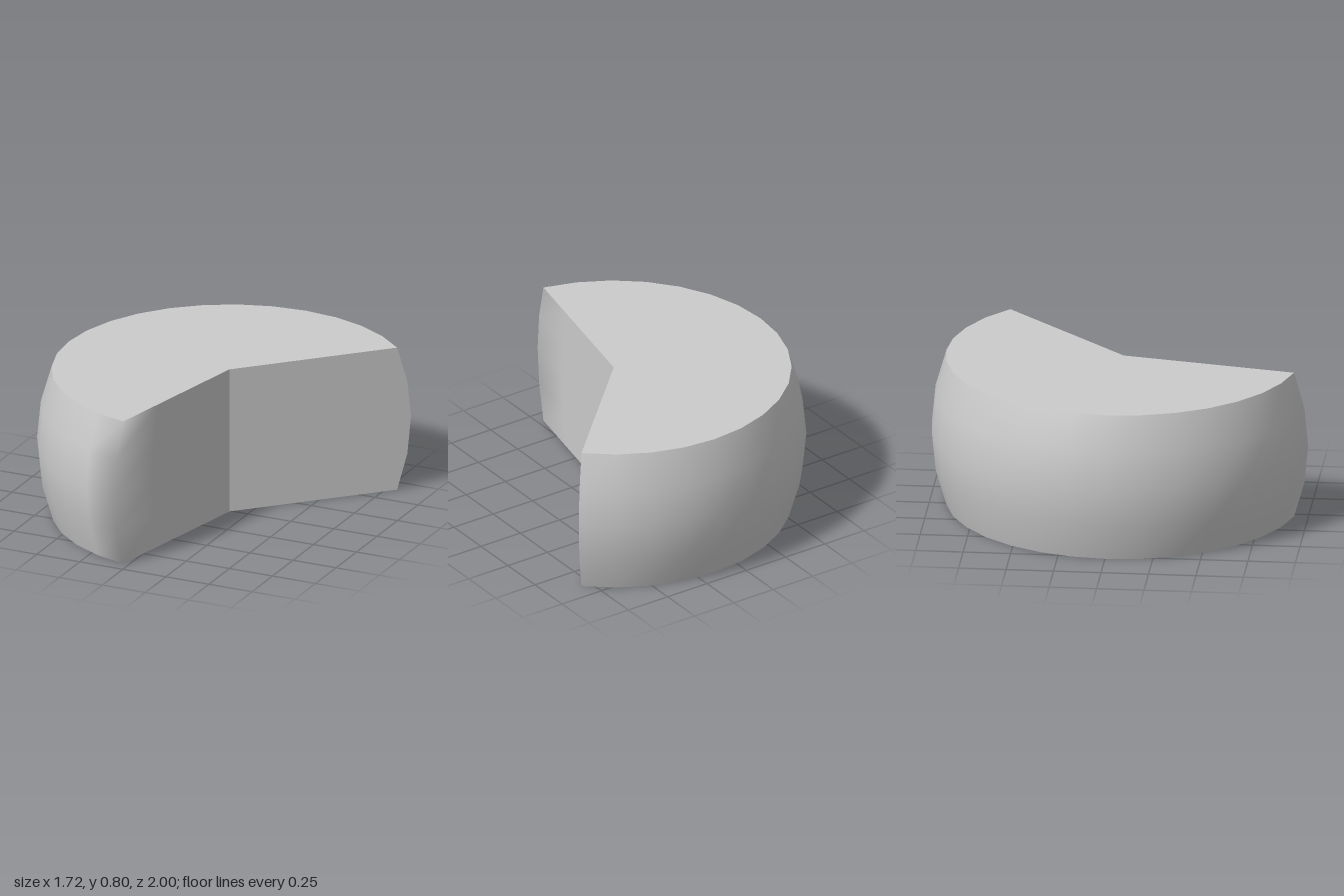
import * as THREE from 'three';

const APEX = [0.148, 0.01]; // x, z of the corner where the cut walls meet
const STEP = Math.PI / 16;  // 32 facets to the full turn
const FIRST = 4, LAST = 23; // the slice runs from 45 to 258.75 degrees
const PROFILE = [[0.933, 0], [0.99, 0.196], [1.01, 0.4], [0.99, 0.604], [0.933, 0.8]];

// One upright column of points at a facet index, with its radius scaled
function column(index, scale = 1) {
  const a = index * STEP;
  return PROFILE.map(([r, y]) => [
    APEX[0] + scale * r * Math.cos(a), y, APEX[1] - scale * r * Math.sin(a)]);
}

// Surface through neighbouring columns, with smooth normals
function skin(columns) {
  const rows = PROFILE.length, index = [];
  for (let i = 0; i < columns.length - 1; i++) {
    for (let j = 0; j < rows - 1; j++) {
      const a = i * rows + j, b = a + rows;
      index.push(a, b, b + 1, a, b + 1, a + 1);
    }
  }
  return build(columns.flat(), index);
}

// Flat fan from the apex to the rim
function cap(row, up) {
  const points = [[APEX[0], PROFILE[row][1], APEX[1]]], index = [];
  for (let i = FIRST; i <= LAST; i++) points.push(column(i)[row]);
  for (let i = 1; i < points.length - 1; i++) index.push(0, up ? i : i + 1, up ? i + 1 : i);
  return build(points, index);
}

function build(points, index) {
  const geometry = new THREE.BufferGeometry();
  geometry.setAttribute('position', new THREE.Float32BufferAttribute(points.flat(), 3));
  geometry.setIndex(index);
  geometry.computeVertexNormals();
  return geometry;
}

export function createModel() {
  const group = new THREE.Group();
  group.name = 'barrelSlice';
  const material = new THREE.MeshStandardMaterial({ color: 0xcccccc });
  const add = (name, geometry) => {
    const mesh = new THREE.Mesh(geometry, material);
    mesh.name = name;
    group.add(mesh);
  };

  // Bulging outer skin, blending softly round the front edge into the cut wall
  const outer = [];
  for (let i = FIRST; i <= LAST; i++) outer.push(column(i));
  outer.push(column(LAST, 0.67));
  add('outerSkin', skin(outer));

  // Flat cut walls
  add('frontCutWall', skin([column(LAST, 0.67), column(LAST, 0)]));
  add('backCutWall', skin([column(FIRST, 0), column(FIRST)]));

  // Flat top and bottom
  add('topFace', cap(PROFILE.length - 1, true));
  add('bottomFace', cap(0, false));
  return group;
}
